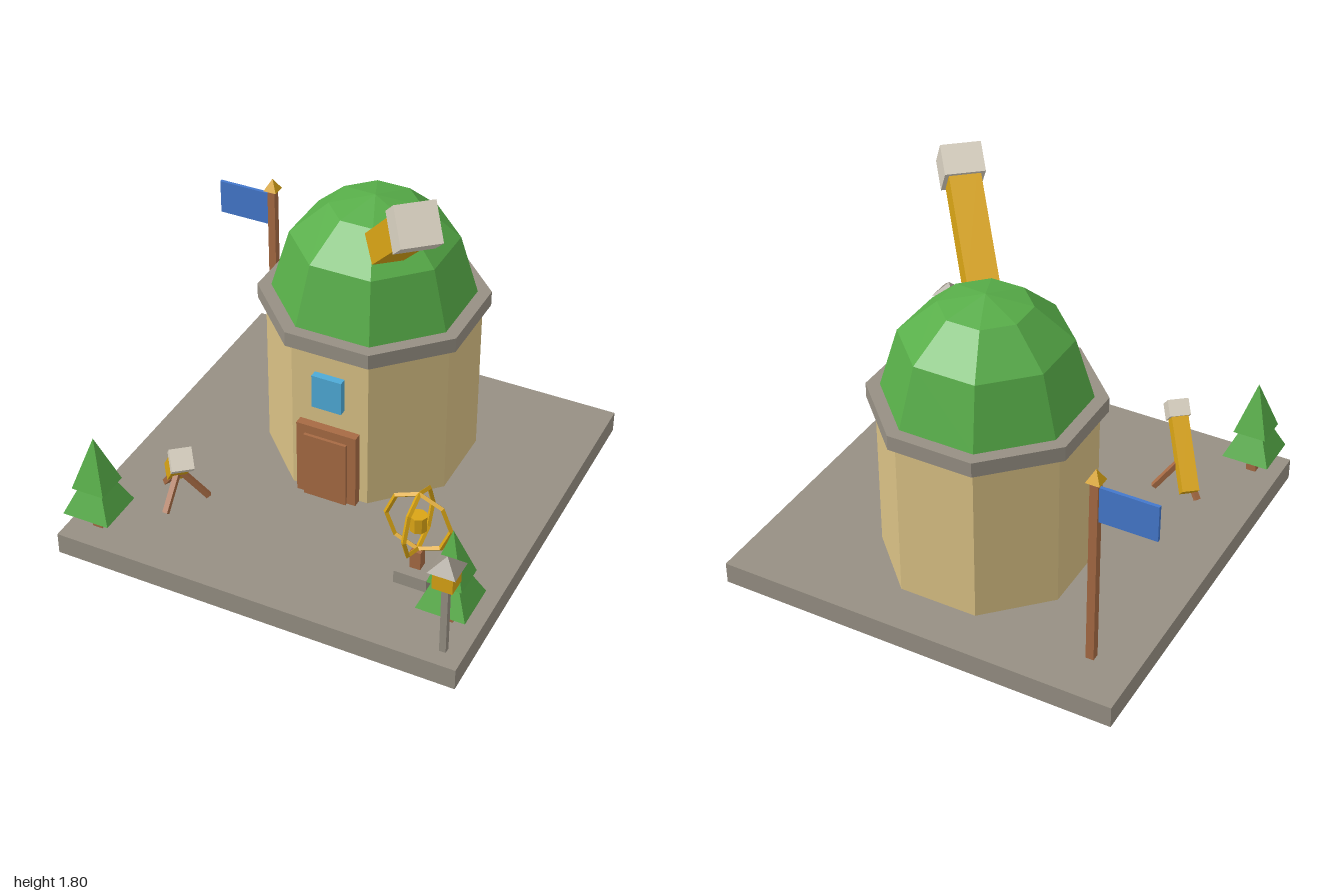
import * as THREE from 'three';

const mat = (name, color, extra = {}) => {
  const m = new THREE.MeshStandardMaterial({ color, flatShading: true, ...extra });
  m.name = name;
  return m;
};

export function createModel() {
  const model = new THREE.Group();
  model.name = 'observatory';

  const stone = mat('stone grey', 0x968f83, { side: THREE.DoubleSide });
  const wall = mat('sand wall', 0xd8c084);
  const green = mat('green', 0x57ad48);
  const gold = mat('gold', 0xd9a415);
  const cream = mat('cream', 0xd8d0c0);
  const wood = mat('brown wood', 0xa66a43);
  const blue = mat('flag blue', 0x4478cc);
  const glass = mat('window blue', 0x4eaad6);

  const add = (parent, name, geo, material, x = 0, y = 0, z = 0) => {
    const m = new THREE.Mesh(geo, material);
    m.name = name;
    m.position.set(x, y, z);
    parent.add(m);
    return m;
  };
  const group = (name, x, y, z) => {
    const g = new THREE.Group();
    g.name = name;
    g.position.set(x, y, z);
    model.add(g);
    return g;
  };
  const box = (w, h, d) => new THREE.BoxGeometry(w, h, d);
  // square pyramid of given half width
  const pyramid = (half, h) => new THREE.ConeGeometry(half * Math.SQRT2, h, 4, 1, false, Math.PI / 4);
  // octagonal prism with a flat face to the front
  const OCT = Math.cos(Math.PI / 8);
  const octagon = (half, h) => new THREE.CylinderGeometry(half / OCT, half / OCT, h, 8, 1, false, Math.PI / 8);

  const G = 0.105; // ground level

  // Base slab, hollow underneath
  const slab = box(1.93, G, 1.935);
  const idx = Array.from(slab.index.array);
  idx.splice(18, 6);
  slab.setIndex(idx);
  slab.clearGroups();
  add(model, 'baseSlab', slab, stone, 0.035, G / 2, 0);

  // Tower
  const tower = group('tower', 0.03, 0, -0.285);
  add(tower, 'towerWall', octagon(0.453, 0.78), wall, 0, G + 0.39, 0);
  add(tower, 'cornice', octagon(0.488, 0.072), stone, 0, 0.921, 0);
  const profile = [[0.43, 0], [0.352, 0.285], [0.19, 0.44], [0, 0.49]]
    .map(([r, y]) => new THREE.Vector2(r / OCT, y));
  add(tower, 'dome', new THREE.LatheGeometry(profile, 8, Math.PI / 8), green, 0, 0.956, 0);
  add(tower, 'doorFrame', box(0.295, 0.382, 0.06), wood, 0, G + 0.191, 0.465);
  add(tower, 'doorPanel', box(0.21, 0.337, 0.06), wood, 0, G + 0.1685, 0.48);
  add(tower, 'window', box(0.145, 0.17, 0.06), glass, 0, 0.68, 0.459);

  // Telescope: origin at the hood centre, local +z points to the sky
  const telescope = (name, x, y, z, yaw, pitch, tube, len, hood, hoodLen) => {
    const g = group(name, x, y, z);
    g.rotation.order = 'YXZ';
    g.rotation.set(-pitch * Math.PI / 180, yaw * Math.PI / 180, 0);
    add(g, 'telescopeTube', box(tube, tube, len), gold, 0, 0, -len / 2);
    add(g, 'telescopeHood', box(hood, hood, hoodLen), cream);
  };
  telescope('mainTelescope', 0.45, 1.69, 0.243, 41, 40, 0.142, 0.58, 0.18, 0.14);
  telescope('smallTelescope', -0.467, 0.452, 0.638, 39, 45, 0.08, 0.395, 0.1, 0.08);

  // Tripod under the small telescope
  const tripod = group('tripod', -0.56, 0, 0.515);
  const legTop = new THREE.Vector3(0, 0.28, 0);
  for (let i = 0; i < 3; i++) {
    const a = i * Math.PI * 2 / 3;
    const foot = new THREE.Vector3(Math.sin(a) * 0.13, G + 0.015, Math.cos(a) * 0.13);
    const leg = add(tripod, 'tripodLeg', box(0.025, 0.025, foot.distanceTo(legTop)), wood);
    leg.position.copy(foot).add(legTop).multiplyScalar(0.5);
    const d = legTop.clone().sub(foot);
    leg.rotation.order = 'YXZ';
    leg.rotation.set(Math.atan2(d.y, 0.13), a, 0);
  }

  // Flag
  const flag = group('flagpole', -0.717, 0, -0.726);
  add(flag, 'pole', box(0.038, 0.935, 0.038), wood, 0, G + 0.4675, 0);
  add(flag, 'finial', pyramid(0.033, 0.06), gold, 0, 1.066, 0);
  add(flag, 'flagCloth', box(0.27, 0.172, 0.016), blue, -0.148, 0.927, 0);

  // Trees
  for (const [x, z] of [[-0.795, 0.822], [0.853, 0.688]]) {
    const tree = group('tree', x, 0, z);
    add(tree, 'trunk', box(0.048, 0.13, 0.048), wood, 0, G + 0.065, 0);
    add(tree, 'lowerFoliage', pyramid(0.114, 0.26), green, 0, 0.34, 0);
    add(tree, 'upperFoliage', pyramid(0.08, 0.25), green, 0, 0.465, 0);
  }

  // Birdhouse
  const bird = group('birdhouse', 0.907, 0, 0.875);
  add(bird, 'birdhousePost', box(0.03, 0.37, 0.03), stone, 0, G + 0.185, 0);
  add(bird, 'birdhouseBox', box(0.092, 0.092, 0.092), gold, 0, 0.513, 0);
  add(bird, 'birdhouseRoof', pyramid(0.063, 0.062), stone, 0, 0.588, 0);

  // Armillary sphere: two crossed rings around a core
  const orb = group('armillary', 0.622, 0, 0.515);
  add(orb, 'plinth', box(0.155, 0.065, 0.155), stone, 0, G + 0.0325, 0);
  add(orb, 'stand', box(0.05, 0.095, 0.05), wood, 0, 0.215, 0);
  add(orb, 'core', new THREE.CylinderGeometry(0.04, 0.04, 0.076, 8), gold, 0, 0.416, 0);
  for (const turn of [0, Math.PI / 2]) {
    const ring = add(orb, 'ring', new THREE.TorusGeometry(0.152, 0.012, 4, 8), gold, 0, 0.416, 0);
    ring.rotation.y = turn;
  }

  return model;
}
